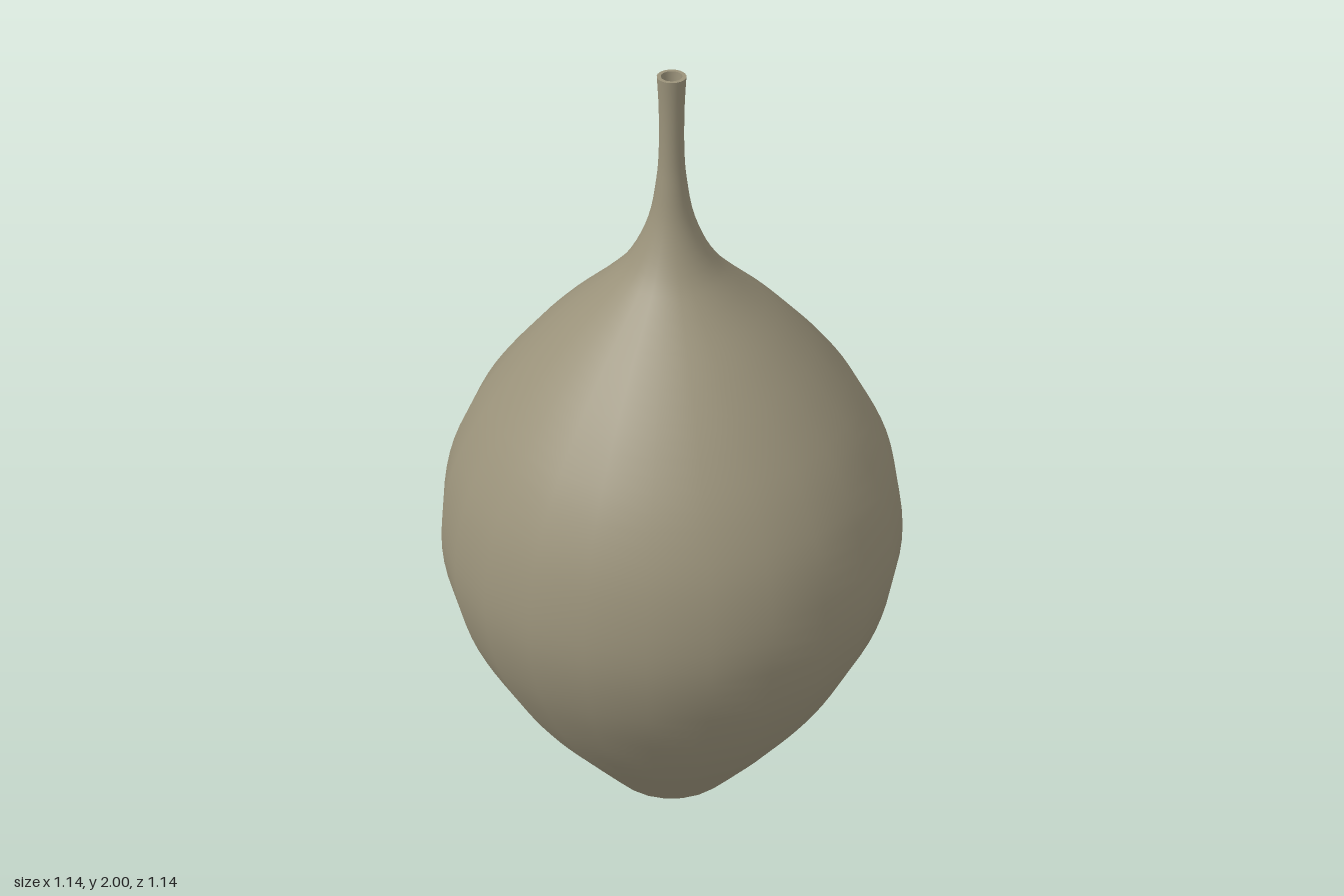
import * as THREE from 'three';

const SIDES = 24;
const clay = new THREE.MeshStandardMaterial({ color: 0x9a927a });
clay.name = 'olive clay';

// Revolve a list of [radius, height] pairs, optionally smoothed by a spline
function turned(name, pairs, samples = 0) {
  let points = pairs.map(([r, y]) => new THREE.Vector2(r, y));
  if (samples) points = new THREE.SplineCurve(points).getPoints(samples);
  points.forEach((p) => { p.x = Math.max(p.x, 0); });
  const mesh = new THREE.Mesh(new THREE.LatheGeometry(points, SIDES), clay);
  mesh.name = name;
  return mesh;
}

export function createModel() {
  const vase = new THREE.Group();
  vase.name = 'vase';

  // Outer wall: narrow foot, full belly, slender neck, slightly flared mouth
  const body = turned('body', [
    [0.17, 0], [0.254, 0.105], [0.36, 0.244], [0.46, 0.405], [0.537, 0.58],
    [0.57, 0.76], [0.547, 0.945], [0.482, 1.1], [0.388, 1.235], [0.28, 1.355],
    [0.164, 1.465], [0.1, 1.54], [0.054, 1.64], [0.035, 1.74], [0.029, 1.82],
    [0.029, 1.92], [0.033, 2],
  ], 64);

  // Flat underside
  const base = turned('base', [[0, 0], [0.17, 0]]);

  // Mouth rim
  const rim = turned('rim', [[0.033, 2], [0.024, 2]]);

  // Hollow inside, from the mouth down to the floor
  const inside = turned('innerWall', [
    [0.024, 2], [0.019, 1.92], [0.019, 1.82], [0.024, 1.74], [0.042, 1.64],
    [0.085, 1.54], [0.146, 1.465], [0.262, 1.345], [0.368, 1.225], [0.46, 1.1],
    [0.525, 0.945], [0.548, 0.76], [0.515, 0.58], [0.44, 0.415], [0.34, 0.26],
    [0.24, 0.125], [0.16, 0.03],
  ], 48);
  const floor = turned('innerFloor', [[0.16, 0.03], [0, 0.03]]);

  vase.add(body, base, rim, inside, floor);
  return vase;
}
